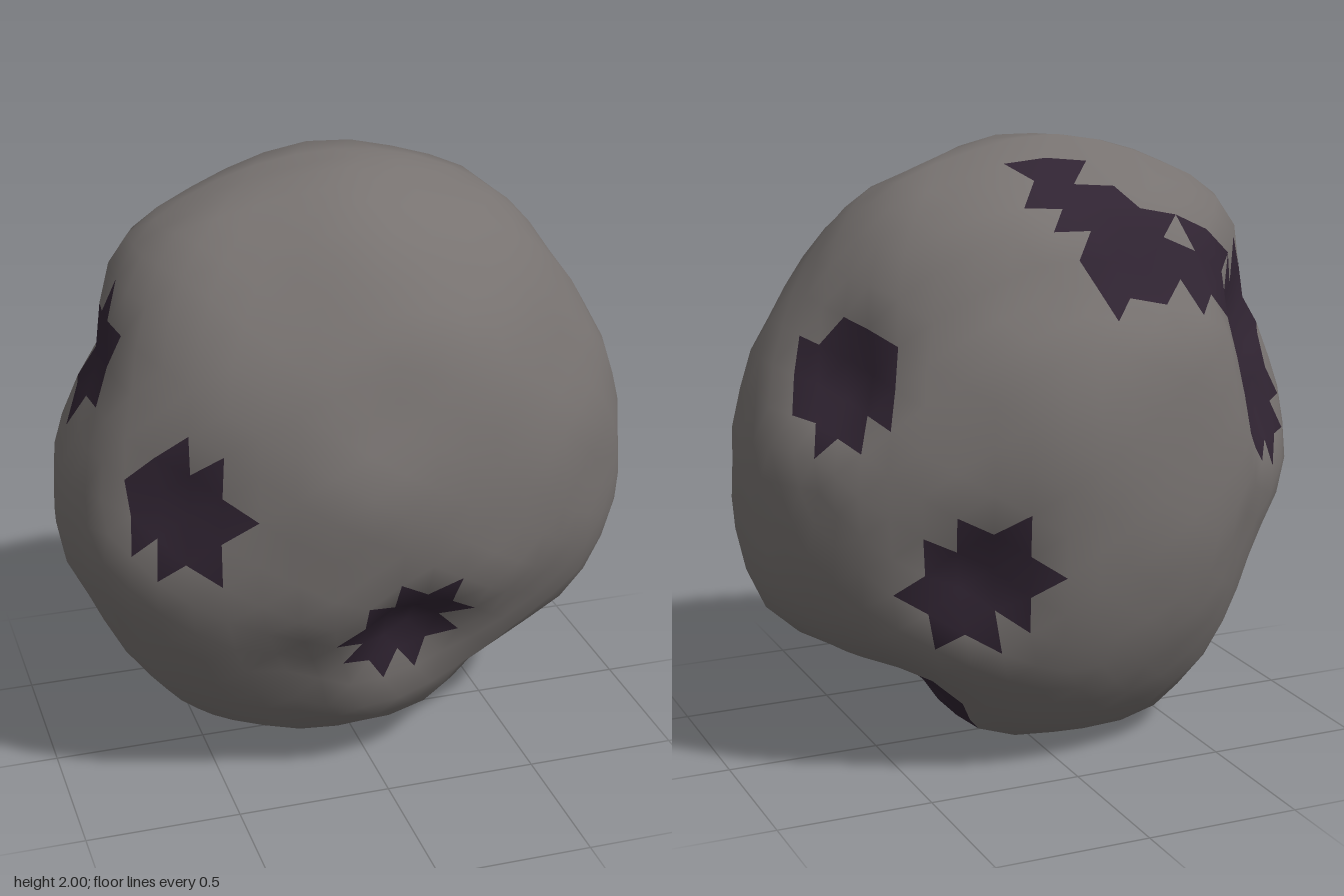
import * as THREE from 'three';
import { mergeVertices } from 'three/addons/utils/BufferGeometryUtils.js';

const SIZE = new THREE.Vector3(0.95, 1, 0.667);

// Outlines in the three main planes, as point pairs around the centre
const OUTLINE_XY = [0.945, 0.11, 0.94, -0.11, 0.915, -0.32, 0.87, -0.45, 0.76, -0.55, 0.565, -0.63, 0.38, -0.73,
  0.26, -0.88, 0.06, -0.98, -0.02, -1, -0.31, -0.98, -0.45, -0.94, -0.7, -0.67, -0.855, -0.36, -0.95, -0.16,
  -0.945, 0.12, -0.86, 0.27, -0.8, 0.475, -0.785, 0.61, -0.71, 0.75, -0.59, 0.86, -0.415, 0.95, -0.21, 0.99,
  0.055, 1.01, 0.27, 0.95, 0.485, 0.85, 0.665, 0.66, 0.785, 0.45, 0.89, 0.235];
const OUTLINE_ZY = [0.67, 0.12, 0.61, 0.315, 0.55, 0.53, 0.43, 0.715, 0.25, 0.9, -0.02, 0.99, -0.195, 1.01, -0.22, 0.93,
  -0.365, 0.84, -0.475, 0.73, -0.51, 0.58, -0.6, 0.45, -0.645, 0.315, -0.665, 0.1, -0.645, -0.105, -0.655, -0.29,
  -0.62, -0.425, -0.56, -0.6, -0.47, -0.73, -0.325, -0.88, -0.19, -0.97, -0.02, -1, 0.14, -0.95, 0.34, -0.81,
  0.43, -0.69, 0.45, -0.56, 0.52, -0.4, 0.6, -0.27, 0.61, -0.11];
const OUTLINE_XZ = [0.945, 0.095, 0.935, -0.02, 0.88, -0.19, 0.8, -0.33, 0.715, -0.43, 0.53, -0.53, 0.31, -0.6,
  0.055, -0.67, -0.235, -0.65, -0.49, -0.58, -0.695, -0.39, -0.85, -0.265, -0.95, -0.085, -0.95, 0.205, -0.915, 0.335,
  -0.785, 0.445, -0.635, 0.545, -0.415, 0.595, -0.225, 0.665, 0.03, 0.64, 0.26, 0.6, 0.51, 0.51, 0.69, 0.385, 0.815, 0.285];

// Broad swellings and hollows between those planes: direction, amount
const SWELLS = [
  [0.3, 0.85, 0.25, -0.035],
  [-0.4, -0.8, -0.4, 0.035],
  [0.35, 0.85, -0.35, 0.03],
  [-0.35, -0.85, 0.35, -0.03],
  [0.4, -0.8, 0.4, -0.02],
  [-0.35, 0.6, -0.6, 0.02],
].map(([x, y, z, amount]) => ({ dir: new THREE.Vector3(x, y, z).normalize(), amount }));

// Craters: centre (relative to the middle), radius of the dark floor, depth
const CRATERS = [
  [0.07, -0.42, 0.53, 0.2, 0.1],
  [-0.62, 0.09, 0.47, 0.2, 0.09],
  [0.69, 0.31, -0.32, 0.2, 0.11],
  [0.36, -0.73, -0.05, 0.25, 0.06],
  [0.33, -0.26, -0.52, 0.21, 0.11],
  [-0.04, 0.78, -0.33, 0.18, 0.04],
  [-0.19, 0.65, -0.45, 0.21, 0.05],
  [-0.44, 0.6, -0.4, 0.16, 0.03],
  [-0.7, 0.41, -0.29, 0.22, 0.1],
  [-0.8, 0.47, 0.04, 0.17, 0.02],
  [-0.73, 0.12, -0.33, 0.2, 0.09],
];

// Turns an outline into radius-by-angle, relative to the plain ellipsoid
function polar(points, a, b) {
  const list = [];
  for (let i = 0; i < points.length; i += 2) {
    const u = points[i] / a, v = points[i + 1] / b;
    list.push([Math.atan2(v, u), Math.hypot(u, v)]);
  }
  list.sort((p, q) => p[0] - q[0]);
  const first = list[0], last = list[list.length - 1];
  list.unshift([last[0] - 2 * Math.PI, last[1]]);
  list.push([first[0] + 2 * Math.PI, first[1]]);
  return (u, v) => {
    const t = Math.atan2(v, u);
    let i = 1;
    while (i < list.length - 1 && list[i][0] < t) i++;
    const [t0, r0] = list[i - 1], [t1, r1] = list[i];
    return r0 + (r1 - r0) * (t - t0) / (t1 - t0);
  };
}

const byXY = polar(OUTLINE_XY, SIZE.x, SIZE.y);
const byZY = polar(OUTLINE_ZY, SIZE.z, SIZE.y);
const byXZ = polar(OUTLINE_XZ, SIZE.x, SIZE.z);

// Lumpy body: each direction blends the outlines of the planes nearest to it
function bodyPoint(d) {
  const { x, y, z } = d;
  const wz = (1 - z * z) ** 4, wx = (1 - x * x) ** 4, wy = (1 - y * y) ** 4;
  let r = (wz * byXY(x, y) + wx * byZY(z, y) + wy * byXZ(x, z)) / (wx + wy + wz);
  for (const s of SWELLS) r += s.amount * Math.exp(-((d.angleTo(s.dir) / 0.35) ** 2));
  r += 0.009 * Math.sin(9 * x + 2) * Math.sin(8 * y + 1) + 0.008 * Math.sin(13 * z + 8 * x) * Math.cos(12 * y - 5 * z);
  return d.clone().multiplyScalar(r).multiply(SIZE);
}

export function createModel() {
  const group = new THREE.Group();
  group.name = 'asteroid';

  const sphere = new THREE.IcosahedronGeometry(1, 8);
  sphere.deleteAttribute('uv');
  sphere.deleteAttribute('normal');
  const geometry = mergeVertices(sphere, 1e-4);
  const pos = geometry.attributes.position;

  const craters = CRATERS.map(([x, y, z, radius, depth]) => {
    const centre = bodyPoint(new THREE.Vector3(x, y, z).divide(SIZE).normalize());
    const outward = centre.clone().divide(SIZE).divide(SIZE).normalize();
    return { centre, outward, radius, depth };
  });

  // Shape the body and press the craters in
  const d = new THREE.Vector3();
  const onFloor = [];
  for (let i = 0; i < pos.count; i++) {
    const start = bodyPoint(d.fromBufferAttribute(pos, i).normalize());
    const p = start.clone();
    for (const c of craters) {
      const push = c.depth * Math.exp(-((start.distanceTo(c.centre) / (c.radius * 0.75)) ** 2));
      p.addScaledVector(c.outward, -push);
    }
    pos.setXYZ(i, p.x, p.y, p.z);
    onFloor.push(craters.map((c) => start.distanceTo(c.centre) < c.radius * 0.92));
  }
  geometry.computeVertexNormals();
  geometry.computeBoundingBox();

  // A face with two corners on a crater floor is dark, which leaves star-shaped rims
  const rock = [], floor = [];
  const index = geometry.index;
  for (let i = 0; i < index.count; i += 3) {
    const face = [index.getX(i), index.getX(i + 1), index.getX(i + 2)];
    const dark = craters.some((c, k) => face.filter((v) => onFloor[v][k]).length >= 2);
    (dark ? floor : rock).push(...face);
  }

  function addPart(name, faces, color) {
    const part = new THREE.BufferGeometry();
    part.setAttribute('position', pos);
    part.setAttribute('normal', geometry.attributes.normal);
    part.setIndex(faces);
    const mesh = new THREE.Mesh(part, new THREE.MeshStandardMaterial({ color }));
    mesh.name = name;
    mesh.position.y = -geometry.boundingBox.min.y;
    group.add(mesh);
  }
  addPart('rockBody', rock, 0x777270);
  addPart('craterFloors', floor, 0x302432);
  return group;
}
